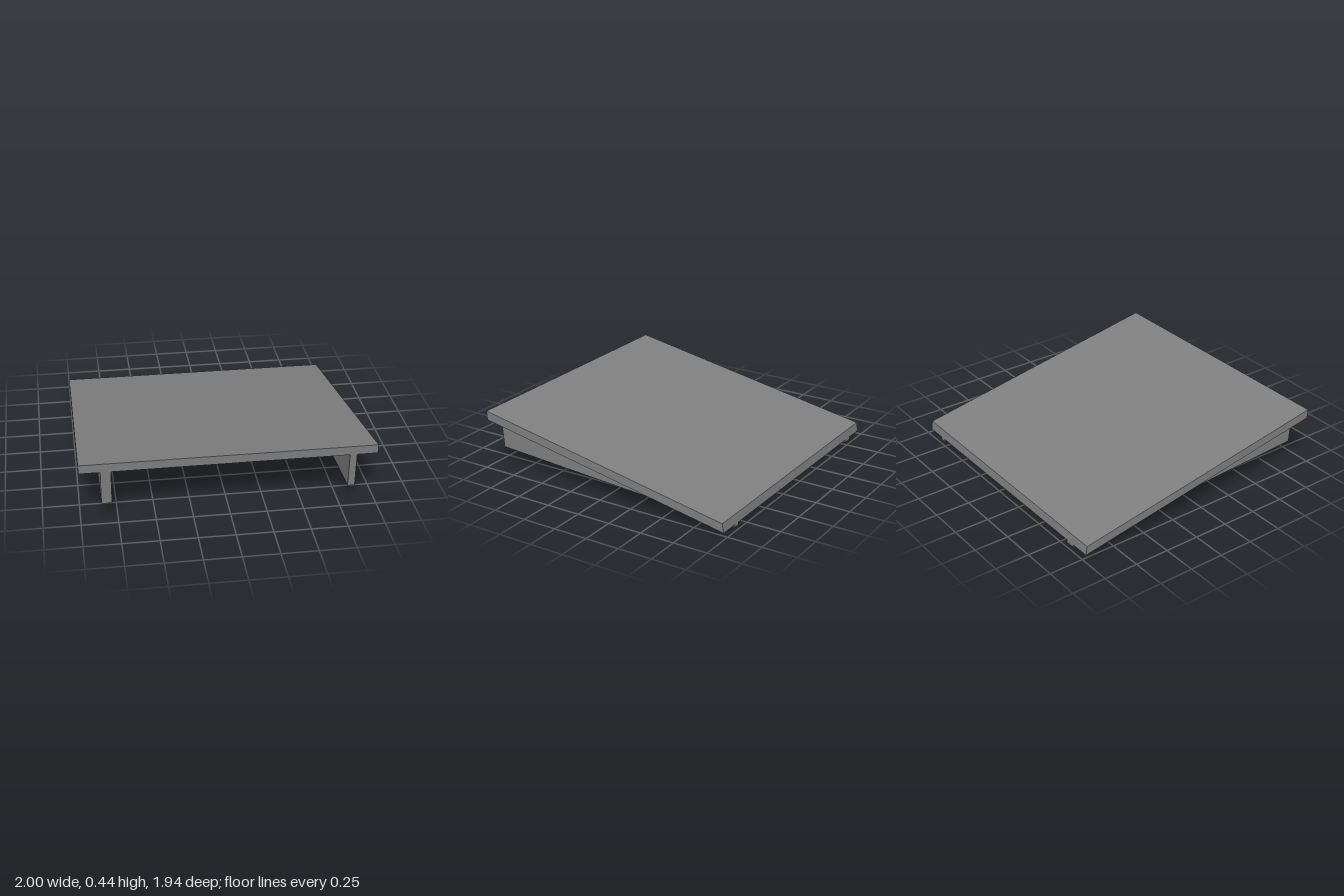
import * as THREE from 'three';

// Extrudes a side profile of [z, y] points across x0..x1.
function slab(name, profile, x0, x1, material) {
  const shape = new THREE.Shape(profile.map(([z, y]) => new THREE.Vector2(z, y)));
  const geometry = new THREE.ExtrudeGeometry(shape, { depth: x1 - x0, bevelEnabled: false });
  geometry.rotateY(-Math.PI / 2); // profile x becomes z, depth runs to -x
  geometry.translate(x1, 0, 0);
  const mesh = new THREE.Mesh(geometry, material);
  mesh.name = name;
  return mesh;
}

export function createModel() {
  const group = new THREE.Group();
  group.name = 'ramp';
  const grey = new THREE.MeshStandardMaterial({ color: 0x808080 });
  grey.name = 'grey';

  // Sloping board, high at the front
  const board = [[-0.97, 0.02], [0.965, 0.375], [0.97, 0.44], [-0.96, 0.085]];
  group.add(slab('board', board, -1, 1, grey));

  // Tapered supports under the board; the right one is thicker
  const support = [[-0.97, 0], [0.944, 0.122], [0.965, 0.375], [-0.97, 0.02]];
  group.add(slab('rightSupport', support, -0.857, -0.787, grey));
  group.add(slab('leftSupport', support, 0.81, 0.858, grey));

  return group;
}
